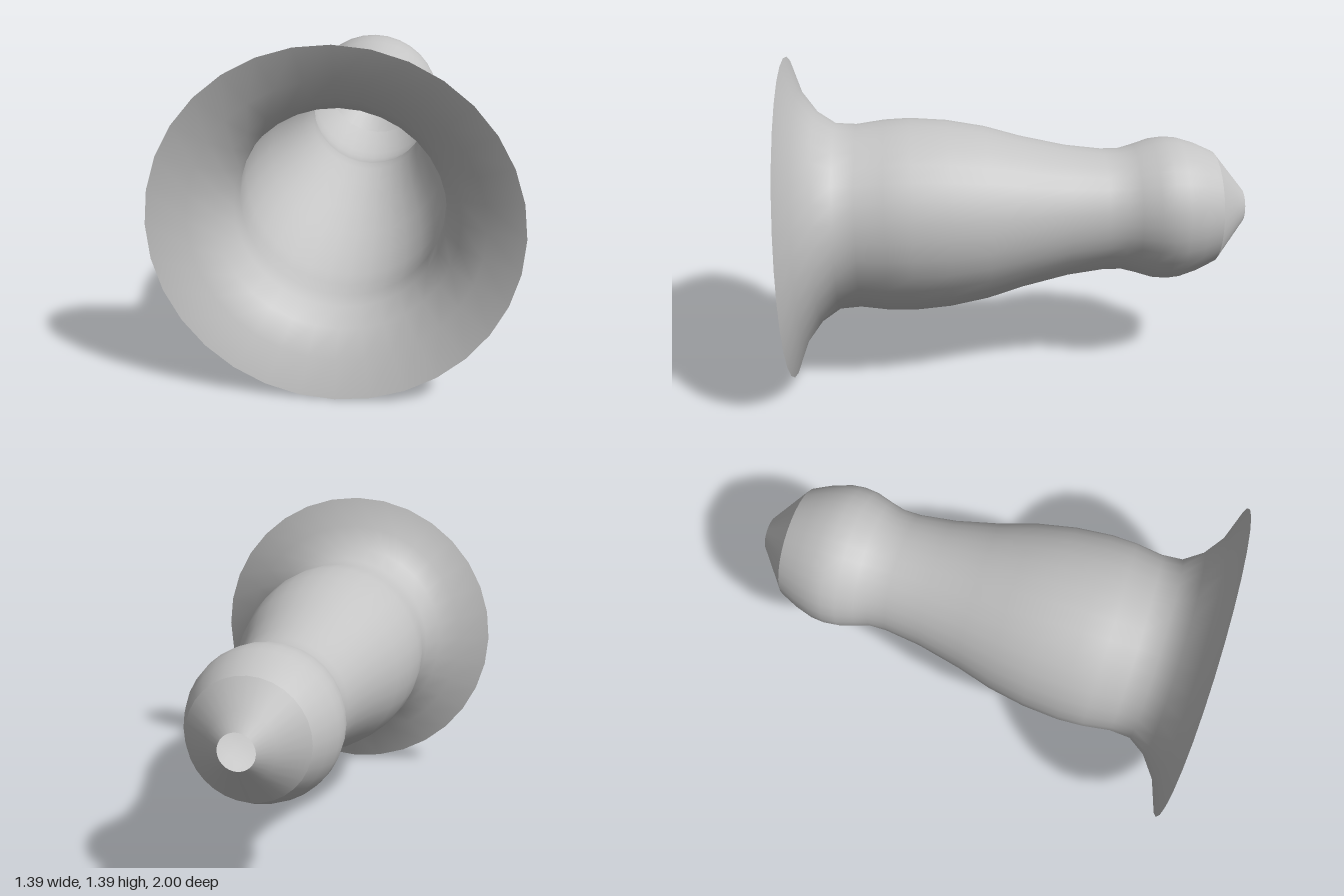
import * as THREE from 'three';

const SEGMENTS = 32;
const RADIUS = 0.695;

// Profiles as [radius, z], from the narrow back end to the flared front
const noseProfile = [[0.075, -1], [0.14, -0.948], [0.25, -0.86]];
const bodyProfile = [
  [0.25, -0.86], [0.287, -0.78], [0.312, -0.7], [0.318, -0.64], [0.311, -0.575],
  [0.287, -0.5], [0.271, -0.44], [0.27, -0.36], [0.29, -0.2], [0.335, 0],
  [0.38, 0.155], [0.41, 0.32], [0.422, 0.48], [0.417, 0.59], [0.4, 0.71],
  [0.406, 0.8], [0.46, 0.88], [0.555, 0.95], [RADIUS, 1],
];

export function createModel() {
  const group = new THREE.Group();
  group.name = 'flaredTube';
  const grey = new THREE.MeshStandardMaterial({ color: 0xc4c4c4, side: THREE.DoubleSide });
  grey.name = 'plain grey';

  // Thin open shell turned about the z axis
  function shell(name, profile) {
    const points = profile.map(([r, z]) => new THREE.Vector2(r, z));
    const geometry = new THREE.LatheGeometry(points, SEGMENTS);
    geometry.rotateX(Math.PI / 2);
    const mesh = new THREE.Mesh(geometry, grey);
    mesh.name = name;
    mesh.position.y = RADIUS;
    group.add(mesh);
  }

  // Separate shells keep the crease where the tip meets the bulb
  shell('taperedTip', noseProfile);
  shell('bodyAndFlare', bodyProfile);
  return group;
}
